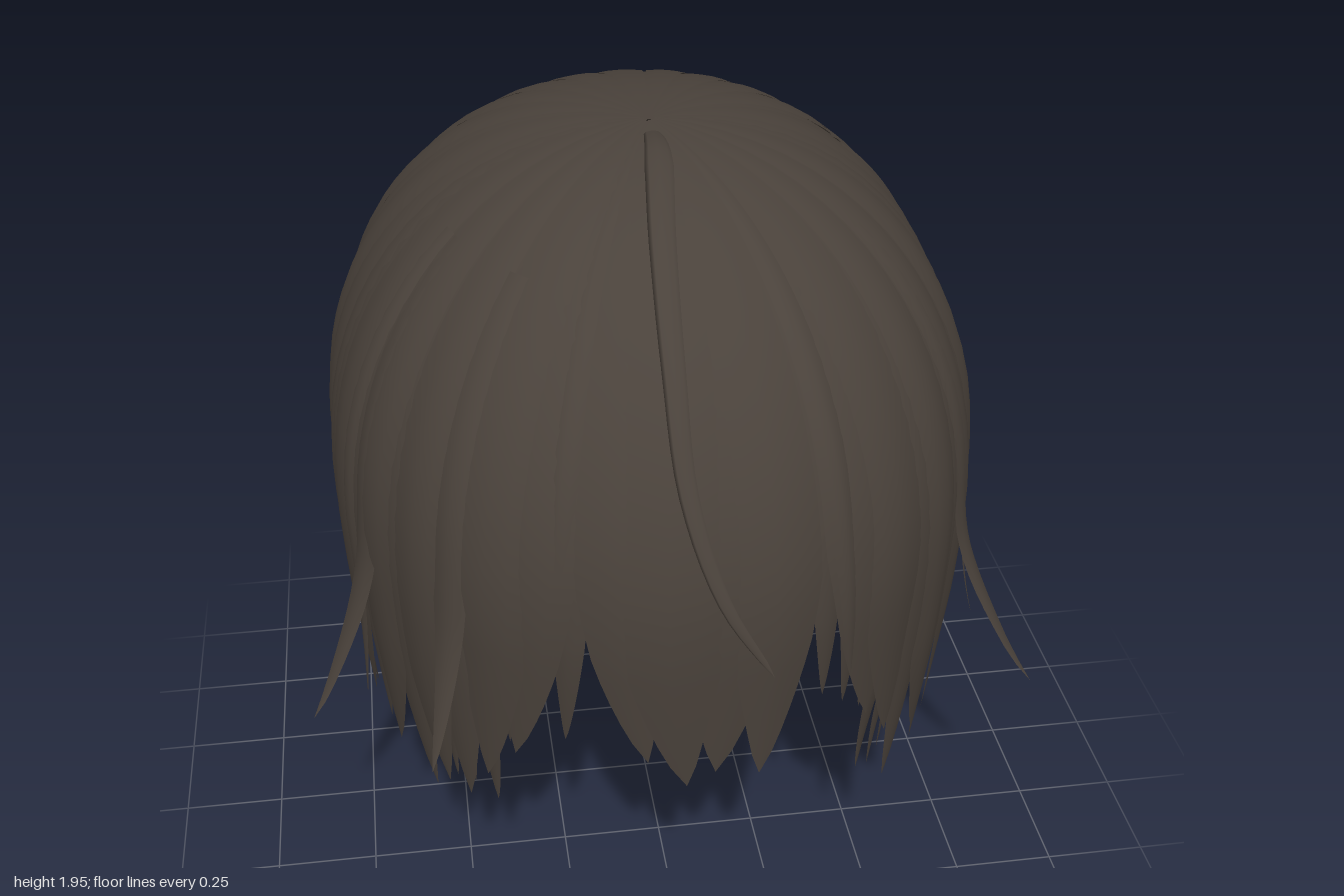
import * as THREE from 'three';

const hair = new THREE.MeshStandardMaterial({ color: 0x4a423b, side: THREE.DoubleSide });
hair.name = 'dark brown hair';

const RIM = 1.1, RISE = 0.835, ARC = 1.2; // rim height, crown height, crown arc length
let seed = 7;
const rnd = () => (seed = (seed * 16807) % 2147483647) / 2147483647;
const jit = (a) => (rnd() * 2 - 1) * a;
const round = (c, p) => Math.sign(c) * Math.pow(Math.abs(c), p);

// Point on the head: angle from the front (degrees), distance from the parting, radial scale
function onHead(deg, s, k, tuck = 0) {
  const t = THREE.MathUtils.degToRad(deg);
  let r = 1, y = RIM;
  if (s < ARC) {
    const f = (s / ARC) * Math.PI / 2;
    r = round(Math.sin(f), 0.93);
    y += RISE * round(Math.cos(f), 0.92) - (1 - k) * 0.35;
  } else {
    const drop = s - ARC;
    y -= drop + (1 - k) * 0.35 * Math.max(0, 1 - drop * 3);
    r = 1 - 0.1 * Math.pow(drop, 1.4) - tuck * THREE.MathUtils.smoothstep(drop, 0, 0.6);
  }
  r *= k;
  return new THREE.Vector3(0.75 * r * round(Math.sin(t), 0.94), y,
    0.05 - 0.09 * Math.min(1, r) + 0.92 * r * round(Math.cos(t), 0.94));
}

// Smooth grid surface from point(u, v)
function surface(name, nu, nv, point) {
  const pos = [], idx = [];
  for (let i = 0; i <= nu; i++) for (let j = 0; j <= nv; j++) pos.push(...point(i / nu, j / nv).toArray());
  for (let i = 0; i < nu; i++) for (let j = 0; j < nv; j++) {
    const a = i * (nv + 1) + j, b = a + nv + 1;
    idx.push(a, b, a + 1, a + 1, b, b + 1);
  }
  const g = new THREE.BufferGeometry();
  g.setAttribute('position', new THREE.Float32BufferAttribute(pos, 3));
  g.setIndex(idx);
  g.computeVertexNormals();
  const m = new THREE.Mesh(g, hair);
  m.name = name;
  return m;
}

// Pointed lock: centre angle, half width (degrees), tip height
function lock(name, deg, half, tipY, o = {}) {
  const { sway = 0, flare = 0, k = 1, tuck = 0, start = 0.01, taper = 0.48 } = o;
  const end = ARC + RIM - tipY;
  return surface(name, 26, 4, (u, v) => {
    const s = start + (end - start) * u;
    const q = Math.max(0, 1 - (end - s) / taper);
    const across = v * 2 - 1;
    const width = half * Math.pow(1 - q, 0.75);
    const lift = k * (1 + 0.016 * (1 - across * across) * Math.min(1, s) * (1 - q)) + flare * q * q;
    return onHead(deg + sway * q * q + across * width, s, lift, tuck);
  });
}

export function createModel() {
  const model = new THREE.Group();
  model.name = 'hair';
  const layer = (name) => {
    const g = new THREE.Group();
    g.name = name;
    model.add(g);
    return g;
  };

  // Closed crown under the locks, cut higher over the forehead
  model.add(surface('crownCap', 18, 72, (u, v) => {
    const deg = v * 360;
    const end = ARC - 0.08 - 0.12 * Math.max(0, Math.cos(THREE.MathUtils.degToRad(deg)));
    return onHead(deg, 0.005 + end * u, 0.985);
  }));

  // Fringe: centre panel and the two swept panels beside its notches
  const fringe = layer('fringe');
  [[-12, 8, 0.8, 4], [-5, 9, 0.73, 3], [4, 9, 0.76, -2], [10, 8, 0.74, -1],
    [-27, 8, 0.76, -4], [-34, 8, 0.66, -3], [27, 8, 0.78, 4], [34, 8, 0.68, 3],
    [-22, 3, 0.98, -2], [22, 3, 0.95, 3]]
    .forEach(([d, w, y, sway], i) => fringe.add(lock('fringeLock', d, w, y, { sway, k: 1 + (i % 2) * 0.008 })));
  for (const m of [-1, 1]) for (let i = 0; i < 4; i++) {
    fringe.add(lock('fringeUnderLock', m * (21 + i * 6), 4, 0.84 - i * 0.05 + jit(0.05),
      { k: 0.95, start: 0.85, sway: m * 2, tuck: 0.04 }));
  }

  // Side locks in front of the ears, with a thinner layer underneath
  const sides = layer('sideLocks');
  for (const m of [-1, 1]) {
    for (let i = 0; i < 7; i++) {
      const d = 42 + i * 6.3;
      sides.add(lock('sideLock', m * d, 6, 0.5 + jit(0.09) - (i > 1 ? 0.05 : 0),
        { sway: m * jit(3), k: 1 + (i % 2) * 0.012, taper: 0.3 + rnd() * 0.15 }));
      sides.add(lock('sideUnderLock', m * (d - 1), 4, 0.45 + jit(0.08), { k: 0.95, tuck: 0.05, start: 1.05, taper: 0.35 }));
    }
    // Straight lock at the ear, and the short ones closing the arch over it
    sides.add(lock('earLock', m * 83, 5, 0.4, { sway: m * 4, taper: 0.35 }));
    sides.add(lock('shortEarLock', m * 90, 6, 0.97, { sway: m * -3, taper: 0.25 }));
    sides.add(lock('shortEarLock', m * 98, 7, 0.83, { sway: m * 4, taper: 0.4, k: 1.006 }));
  }

  // Back locks from ear to ear, in two ragged layers; the arch over the right ear reaches further back
  const back = layer('backLocks');
  for (let i = 0; i <= 18; i++) {
    const d = 107 + i * 8.11;
    const hem = d < 176 ? 0.7 : d < 224 ? 0.55 : d < 240 ? 0.72 : 0.8;
    const underHem = d < 224 ? 0.47 : 0.74;
    back.add(lock('backLock', d, 7.5, hem + jit(0.12), { sway: jit(5), k: 1 + (i % 2) * 0.012, flare: rnd() * 0.04 }));
    back.add(lock('backUnderLock', d + 3 * Math.sign(180 - d), 6, underHem + jit(0.11),
      { sway: jit(5), k: 0.95, tuck: 0.06 + 0.06 * rnd(), start: 1.05, taper: 0.45 }));
  }

  // Long inner locks at the nape, longest on the left
  const nape = layer('napeLocks');
  [[107, 7, 0.25], [116, 9, 0.22], [127, 9, 0.2], [138, 9, 0.1], [148, 9, 0.02], [157, 9, 0], [166, 8, 0.03], [171, 5, 0.2],
    [184, 8, 0.55], [194, 8, 0.5], [203, 7, 0.38], [216, 8, 0.12], [227, 8, 0.22], [238, 8, 0.28], [249, 8, 0.33]]
    .forEach(([d, w, y], i) => nape.add(lock('napeLock', d, w, y,
      { k: 0.9 + (i % 2) * 0.015, tuck: 0.27, start: 1.05, sway: jit(3), flare: 0.05, taper: 0.32 })));
  // Curling locks between the nape and the back
  [[126, 0.14, 0.16], [134, 0.24, 0.16], [145, 0.22, 0.13], [153, 0.25, 0.1], [161, 0.32, 0.09],
    [203, 0.36, 0.1], [212, 0.3, 0.13], [222, 0.28, 0.16]]
    .forEach(([d, y, tuck]) => nape.add(
      lock('curlingLock', d, 5, y, { k: 0.93, tuck, start: 1.05, sway: 3, taper: 0.55 })));

  // Thin locks that flick outward
  const flicks = layer('flickedLocks');
  [[-63, 4, 0.71, 0.27], [59, 4, 0.7, 0.31], [-41, 4, 0.75, 0.16], [73, 2, 0.66, 0.12], [-117, 4, 0.75, 0.17], [-127, 4, 0.7, 0.07],
    [126, 4, 0.75, 0.12], [108, 4, 0.8, 0.1], [100, 3, 0.85, 0.08], [180, 3, 0.55, 0.1], [-70, 3, 0.6, 0.05], [-152, 3, 0.6, 0.07]]
    .forEach(([d, w, y, flare]) => flicks.add(lock('flickedLock', d, w, y, { flare, k: 1.01, start: 0.5 })));

  // Loose strand arching from the parting over the forehead
  const path = new THREE.CatmullRomCurve3([[0, 1.92, 0.06], [-0.01, 1.945, 0.25], [-0.04, 1.87, 0.52], [-0.05, 1.7, 0.74],
    [-0.04, 1.5, 0.88], [0.02, 1.3, 0.965], [0.12, 1.13, 1]].map((p) => new THREE.Vector3(...p)));
  model.add(surface('looseStrand', 30, 8, (u, v) => {
    const p = path.getPoint(u), t = path.getTangent(u), a = v * Math.PI * 2;
    const w = 0.034 * Math.pow(1 - u, 0.5) * Math.min(1, 0.4 + u * 3);
    const across = new THREE.Vector3(1, 0, 0).addScaledVector(t, -t.x).normalize();
    const out = new THREE.Vector3().crossVectors(t, across);
    return p.addScaledVector(across, w * Math.cos(a)).addScaledVector(out, 0.3 * w * Math.sin(a));
  }));
  return model;
}
